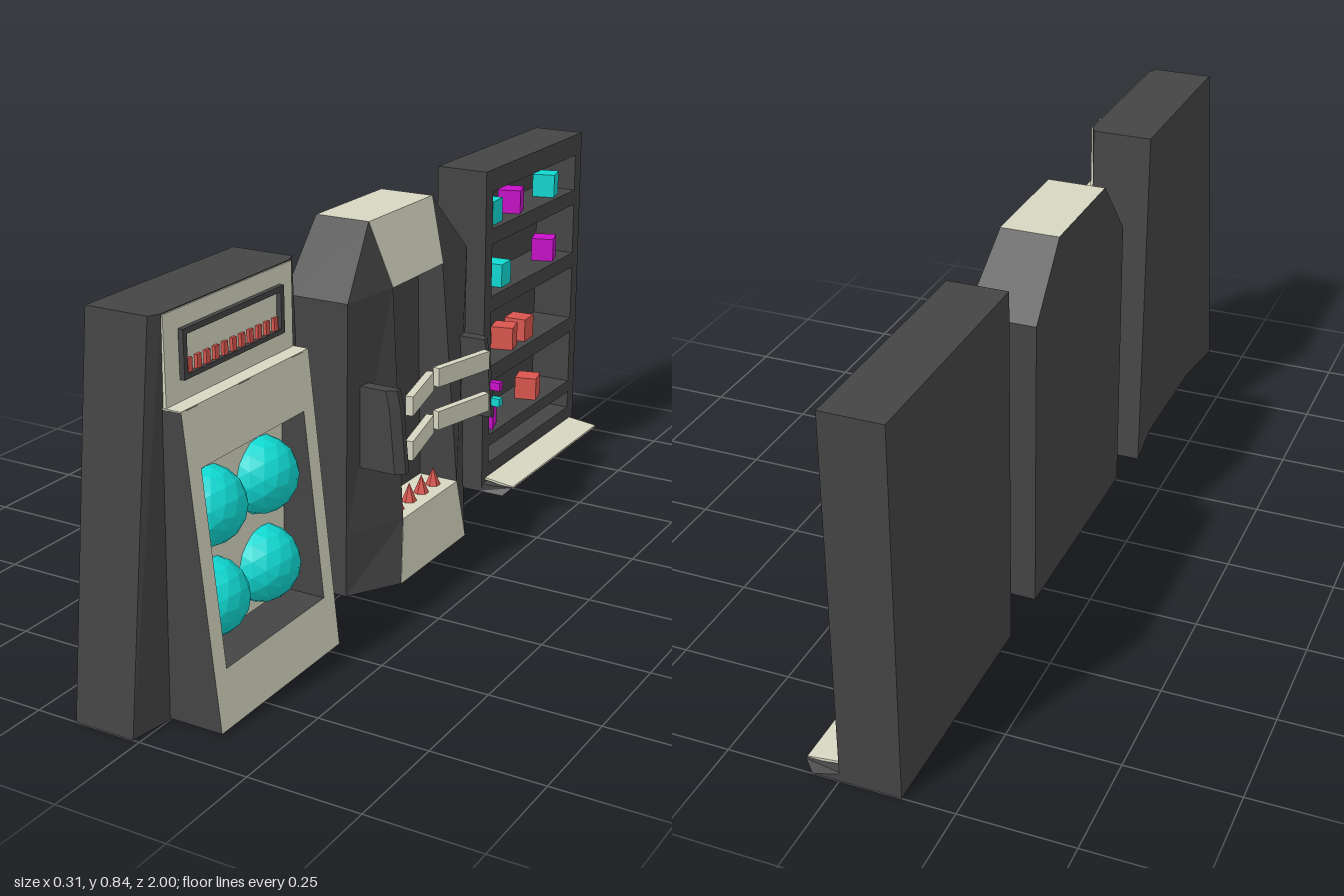
import * as THREE from 'three';

const mat = (color) => new THREE.MeshStandardMaterial({ color, flatShading: true });
const dark = mat(0x444444), beige = mat(0xd6d6c2), teal = mat(0x10d8d2);
const magenta = mat(0xc810c8), red = mat(0xd9564e);

function add(parent, name, geometry, material, x = 0, y = 0, z = 0) {
  const mesh = new THREE.Mesh(geometry, material);
  mesh.name = name;
  mesh.position.set(x, y, z);
  parent.add(mesh);
  return mesh;
}

// Box given by its extents on each axis
function box(parent, name, material, [x0, x1], [y0, y1], [z0, z1]) {
  return add(parent, name, new THREE.BoxGeometry(x1 - x0, y1 - y0, z1 - z0), material,
    (x0 + x1) / 2, (y0 + y1) / 2, (z0 + z1) / 2);
}

// Solid through horizontal convex sections [y, [[x, z], ...]]; side = -1 mirrors in z
function loft(sections, side = 1) {
  let rings = sections.map(([y, pts]) => pts.map(([x, z]) => [x, y, z * side]));
  let area = 0;
  rings[0].forEach((p, i, r) => {
    const q = r[(i + 1) % r.length];
    area += p[2] * q[0] - p[0] * q[2];
  });
  if (area < 0) rings = rings.map((r) => r.slice().reverse());
  const out = [], n = rings[0].length, top = rings[rings.length - 1];
  const tri = (...corners) => corners.forEach((c) => out.push(...c));
  for (let k = 0; k + 1 < rings.length; k++) {
    const a = rings[k], b = rings[k + 1];
    for (let i = 0; i < n; i++) {
      const j = (i + 1) % n;
      tri(a[i], a[j], b[j]);
      tri(a[i], b[j], b[i]);
    }
  }
  for (let i = 1; i + 1 < n; i++) {
    tri(rings[0][0], rings[0][i + 1], rings[0][i]);
    tri(top[0], top[i], top[i + 1]);
  }
  const g = new THREE.BufferGeometry();
  g.setAttribute('position', new THREE.Float32BufferAttribute(out, 3));
  g.computeVertexNormals();
  return g;
}

// Upright panel facing +x with rectangular holes; frontX(y) gives the front plane
function panel(half, y0, y1, holes, backX, frontX) {
  const rect = (path, h, a, b) => path.moveTo(-h, a).lineTo(h, a).lineTo(h, b).lineTo(-h, b).closePath();
  const shape = rect(new THREE.Shape(), half, y0, y1);
  holes.forEach(([h, a, b]) => shape.holes.push(rect(new THREE.Path(), h, a, b)));
  const g = new THREE.ExtrudeGeometry(shape, { depth: 1, bevelEnabled: false });
  const p = g.attributes.position;
  for (let i = 0; i < p.count; i++) {
    const u = p.getX(i), y = p.getY(i);
    p.setXYZ(i, p.getZ(i) > 0.5 ? frontX(y) : backX, y, -u);
  }
  g.computeVertexNormals();
  return g;
}

// Cabinet with four round vessels behind a sloping window
function vesselCabinet() {
  const g = new THREE.Group();
  g.name = 'vesselCabinet';
  add(g, 'bodyCore', loft([
    [0, [[-0.137, 0.165], [0, 0.165], [0, -0.165], [-0.137, -0.165]]],
    [0.84, [[-0.135, 0.165], [0.02, 0.165], [0.02, -0.165], [-0.135, -0.165]]]]), dark);
  for (const s of [1, -1]) {
    add(g, 'bodyWing', loft([
      [0, [[-0.155, 0.3175], [-0.015, 0.3175], [0, 0.2175], [0, 0.165], [-0.137, 0.165]]],
      [0.84, [[-0.135, 0.24], [0.008, 0.24], [0.02, 0.215], [0.02, 0.165], [-0.135, 0.165]]]], s), dark);
  }
  // Lower sloping front with its window
  add(g, 'slopingFront', panel(0.2175, 0.003, 0.655, [[0.178, 0.125, 0.535]], -0.01,
    (y) => 0.125 - 0.102 * y), [beige, dark]);
  box(g, 'frontLedge', beige, [0, 0.058], [0.654, 0.657], [-0.2175, 0.2175]);
  box(g, 'windowBack', beige, [0, 0.016], [0.12, 0.54], [-0.18, 0.18]);
  for (const z of [-0.092, 0.092]) {
    for (const y of [0.22, 0.417]) {
      add(g, 'vessel', new THREE.IcosahedronGeometry(0.083, 2), teal, 0.014, y, z);
    }
  }
  // Upper display with a row of bars
  box(g, 'displayPlate', beige, [0, 0.023], [0.655, 0.838], [-0.215, 0.215]);
  add(g, 'displayFrame', panel(0.17, 0.7, 0.8, [[0.158, 0.71, 0.788]], 0.02, () => 0.034), dark);
  for (let i = 0; i < 11; i++) {
    const z = -0.145 + i * 0.029;
    box(g, 'displayBar', red, [0.02, 0.03], [0.71, 0.737], [z - 0.007, z + 0.007]);
  }
  return g;
}

// Pod with a tall recess, side wings, arms and angled bars
function podCabinet() {
  const g = new THREE.Group();
  g.name = 'podCabinet';
  // Levels: y, outer z, inner z, outer front x, inner front x
  const levels = [
    [0, 0.278, 0.157, 0.015, 0.09], [0.15, 0.278, 0.13, 0.018, 0.08],
    [0.69, 0.274, 0.115, 0.025, 0.045], [0.84, 0.1425, 0.1425, 0, 0]];
  for (const s of [1, -1]) {
    add(g, 'wing', loft(levels.map(([y, o, i, xo, xi]) =>
      [y, [[-0.135, o], [xo, o], [xi, i], [-0.135, i]]]), s), dark);
  }
  const span = (a, b, i) => [[a, i], [b, i], [b, -i], [a, -i]];
  add(g, 'recessBack', loft(levels.map(([y, , i]) =>
    [Math.min(y, 0.839), span(-0.135, -0.02, i)])), dark);
  for (const [name, k] of [['lowerBlock', 0], ['upperBlock', 2]]) {
    add(g, name, loft([levels[k], levels[k + 1]].map(([y, , i, , xi]) =>
      [y, span(-0.134, xi + 0.001, i)])), beige);
  }
  for (let i = 0; i < 4; i++) {
    add(g, 'spike', new THREE.ConeGeometry(0.02, 0.05, 6), red, 0.04, 0.17, 0.089 - i * 0.058);
  }
  // Arms with tapering sides
  for (const s of [1, -1]) {
    const arm = [[0.3, 0.135], [0.45, 0.122], [0.492, 0.113]].map(([y, x]) =>
      [y, [[0.02, 0.2], [0.02, 0.23], [x - 0.02, 0.23], [x, 0.215], [x, 0.2]]]);
    add(g, 'arm', loft(arm, s), dark);
    for (const y of [0.345, 0.45]) {
      const bar = add(g, 'angledBar', new THREE.BoxGeometry(0.018, 0.045, 0.178), beige, 0.106, y, s * 0.1);
      bar.rotation.y = s * 0.24;
    }
  }
  // Knobs on one arm
  [[0.378, magenta], [0.338, teal]].forEach(([y, m]) =>
    box(g, 'armKnob', m, [0.12, 0.153], [y - 0.01, y + 0.01], [-0.222, -0.204]));
  return g;
}

// Shelf unit with small boxes and a sloping tray
function shelfUnit() {
  const g = new THREE.Group();
  g.name = 'shelfUnit';
  const bays = [[0.067, 0.113], [0.145, 0.288], [0.33, 0.475], [0.515, 0.65], [0.69, 0.785]];
  add(g, 'shelfFrame', panel(0.28, 0, 0.84, bays.map(([a, b]) => [0.243, a, b]), -0.115, () => 0), dark);
  box(g, 'shelfBack', dark, [-0.135, -0.11], [0, 0.84], [-0.28, 0.28]);
  const items = [
    [4, 0.185, teal], [4, 0.052, magenta], [4, -0.155, teal], [3, 0.13, teal], [3, -0.155, magenta],
    [2, 0.075, red], [2, -0.013, red], [1, 0.185, magenta], [1, -0.075, red]];
  items.forEach(([bay, z, m], i) => {
    const cube = add(g, 'storedBox', new THREE.BoxGeometry(0.058, 0.06, 0.058), m, -0.045, bays[bay][0] + 0.03, z);
    cube.rotation.y = [0.05, 0.3, 0.25][i % 3];
  });
  // Tray: dark wedge with a light top
  add(g, 'tray', loft([
    [0, [[-0.01, 0.28], [0.06, 0.28], [0.06, -0.28], [-0.01, -0.28]]],
    [0.02, [[-0.01, 0.28], [0.08, 0.265], [0.08, -0.265], [-0.01, -0.28]]]]), dark);
  const top = new THREE.BoxGeometry(0.082, 0.006, 0.52);
  add(g, 'trayTop', top, beige, 0.039, 0.024, 0).rotation.z = -0.12;
  return g;
}

export function createModel() {
  const model = new THREE.Group();
  model.name = 'cabinetRow';
  [[vesselCabinet(), 0.6825], [podCabinet(), -0.019], [shelfUnit(), -0.72]].forEach(([unit, z]) => {
    unit.position.z = z;
    model.add(unit);
  });
  return model;
}
